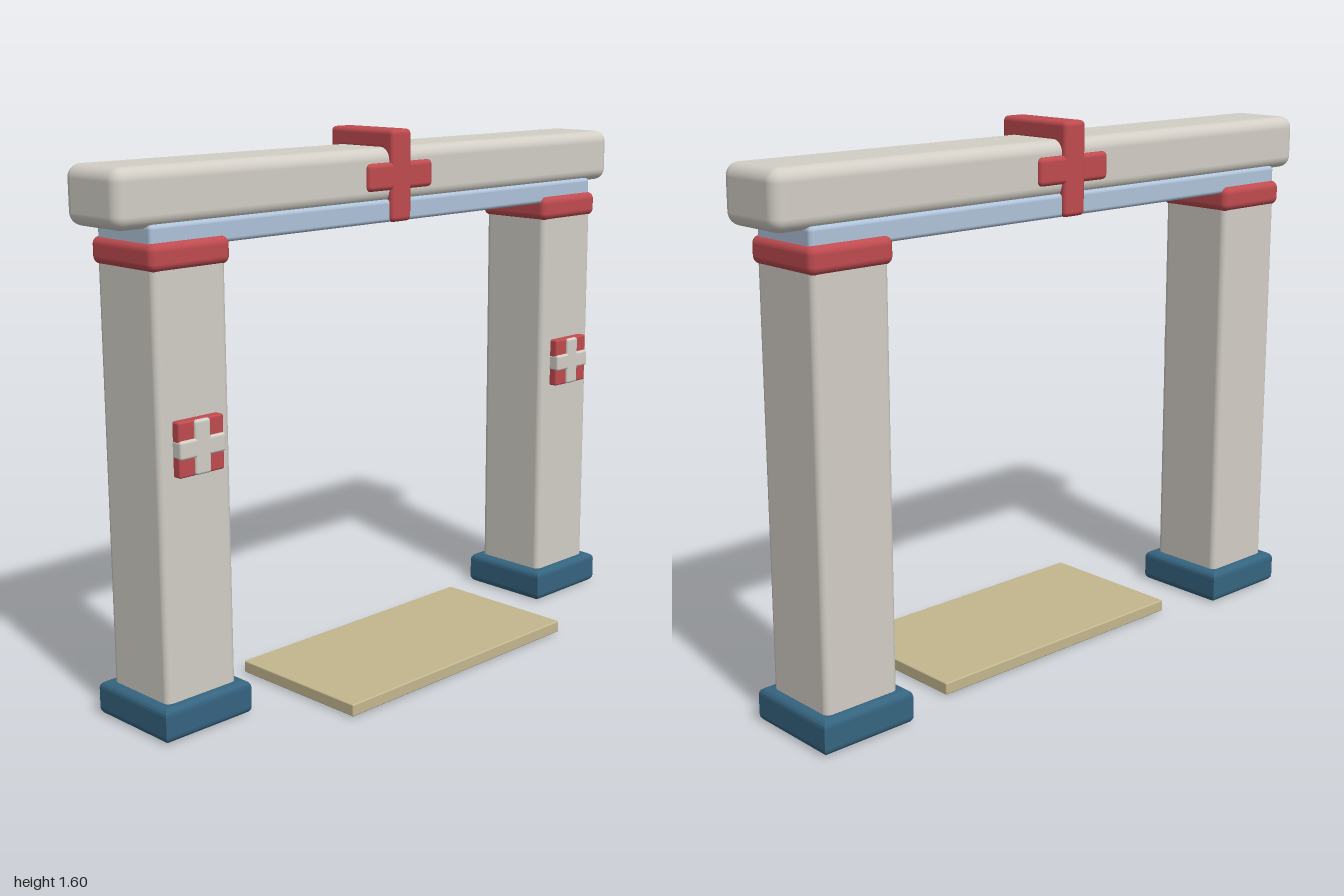
import * as THREE from 'three';
import { RoundedBoxGeometry } from 'three/addons/geometries/RoundedBoxGeometry.js';

const CENTRE_Z = -0.115; // depth line of the gate
const mat = (color) => new THREE.MeshStandardMaterial({ color });

export function createModel() {
  const stone = mat(0xd2cec6), red = mat(0xbf4b4f), navy = mat(0x356480);
  const paleBlue = mat(0xafc3da), tan = mat(0xc4b78f);
  const model = new THREE.Group();
  model.name = 'gate';

  // Rounded block given by its size and centre
  const block = (parent, name, material, [w, h, d], [x, y, z], radius) => {
    const mesh = new THREE.Mesh(new RoundedBoxGeometry(w, h, d, 4, radius), material);
    mesh.name = name;
    mesh.position.set(x, y, z);
    parent.add(mesh);
    return mesh;
  };

  // Hollow square foot with rounded edges
  const square = (target, half) => target.moveTo(-half, -half)
    .lineTo(half, -half).lineTo(half, half).lineTo(-half, half).closePath();
  const bevel = 0.02;
  const footShape = square(new THREE.Shape(), 0.15 - bevel);
  footShape.holes.push(square(new THREE.Path(), 0.092 + bevel));
  const footGeometry = new THREE.ExtrudeGeometry(footShape, {
    depth: 0.1 - 2 * bevel, bevelEnabled: true, bevelSize: bevel, bevelThickness: bevel, bevelSegments: 4,
  });
  footGeometry.rotateX(-Math.PI / 2).translate(0, bevel, 0);

  // Two mirrored pillars with foot, collar and cross badge
  for (const side of [-1, 1]) {
    const pillar = new THREE.Group();
    pillar.name = side > 0 ? 'leftPillar' : 'rightPillar';
    pillar.position.set(side * 0.78, 0, CENTRE_Z);
    model.add(pillar);

    block(pillar, 'shaft', stone, [0.242, 1.27, 0.246], [0, 0.675, 0], 0.02);
    const foot = new THREE.Mesh(footGeometry, navy);
    foot.name = 'foot';
    pillar.add(foot);
    block(pillar, 'collar', red, [0.264, 0.075, 0.266], [0, 1.3125, 0], 0.022);

    const badge = new THREE.Group();
    badge.name = 'badge';
    badge.position.set(0, 0.805, 0.125);
    pillar.add(badge);
    block(badge, 'badgePanel', red, [0.152, 0.152, 0.05], [0, 0, -0.001], 0.006);
    block(badge, 'badgeUpright', stone, [0.052, 0.15, 0.05], [0, 0, 0.007], 0.008);
    block(badge, 'badgeCrossbar', stone, [0.154, 0.052, 0.05], [0, 0, 0.007], 0.008);
  }

  // Beams across the top
  block(model, 'lowerBeam', paleBlue, [1.8, 0.066, 0.232], [0, 1.363, CENTRE_Z], 0.012);
  block(model, 'lintel', stone, [2, 0.16, 0.23], [0, 1.465, CENTRE_Z], 0.036);

  // Red strap over the lintel, with a cross on the front and the back
  const strap = new THREE.Group();
  strap.name = 'strap';
  strap.position.z = CENTRE_Z;
  model.add(strap);
  block(strap, 'strapTop', red, [0.08, 0.06, 0.26], [0, 1.566, 0], 0.014);
  for (const face of [-1, 1]) {
    block(strap, 'crossUpright', red, [0.08, 0.266, 0.05], [0, 1.463, face * 0.105], 0.014);
    block(strap, 'crossBar', red, [0.264, 0.08, 0.046], [0, 1.463, face * 0.105], 0.014);
  }

  // Flat threshold slab on the ground
  block(model, 'threshold', tan, [0.912, 0.036, 0.465], [0, 0.022, 0.0325], 0.004);

  return model;
}
